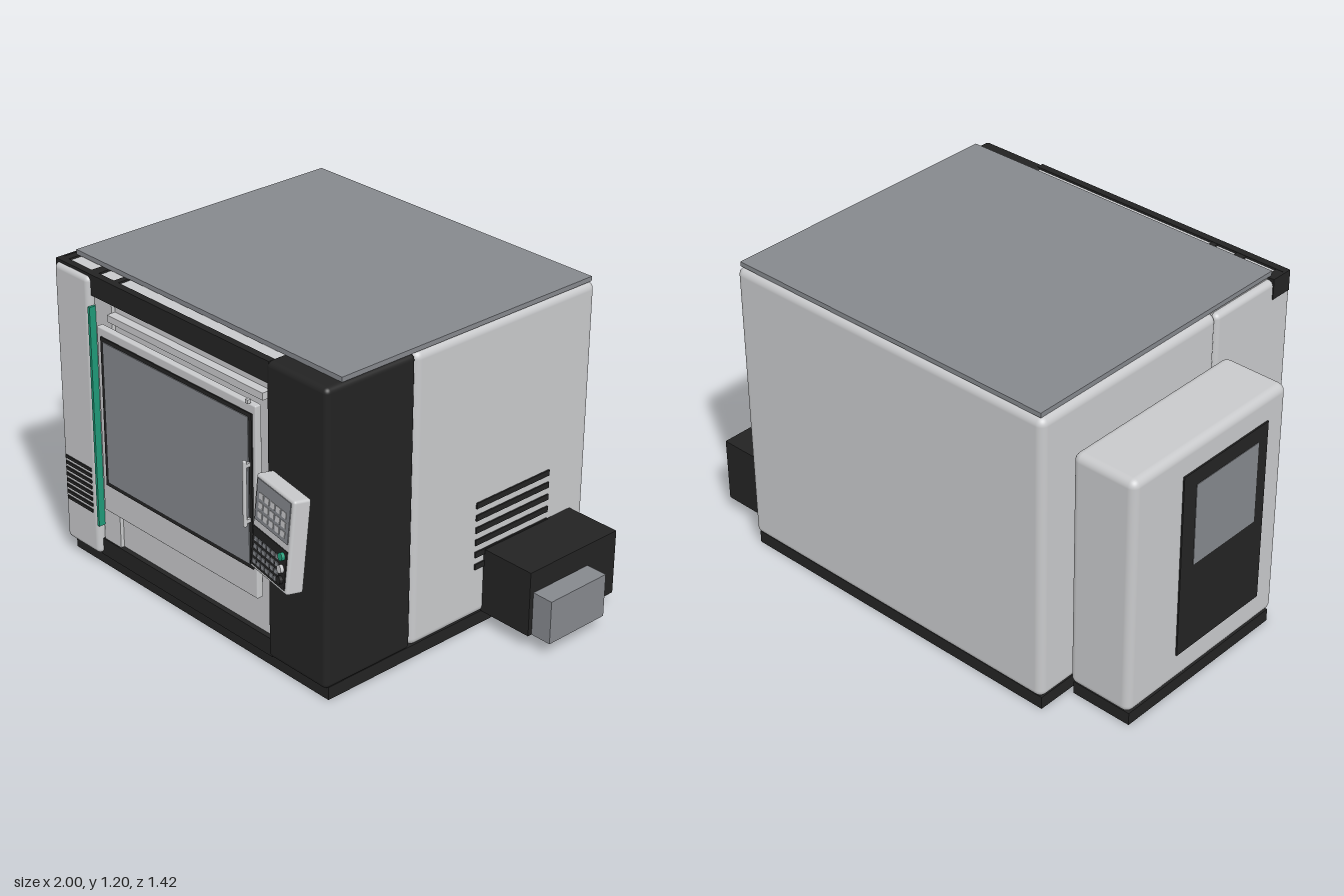
import * as THREE from 'three';
import { RoundedBoxGeometry } from 'three/addons/geometries/RoundedBoxGeometry.js';

const mat = (name, color) => {
  const m = new THREE.MeshStandardMaterial({ color });
  m.name = name;
  return m;
};

export function createModel() {
  const light = mat('light grey paint', 0xc8c9cb);
  const grey = mat('mid grey', 0x85888d);
  const dark = mat('charcoal', 0x232323);
  const teal = mat('teal accent', 0x1f9a78);

  const model = new THREE.Group();
  model.name = 'machiningCentre';

  // Box given by its limits on each axis; r > 0 rounds the edges
  function block(name, material, [x0, x1], [y0, y1], [z0, z1], r = 0, parent = model) {
    const size = [x1 - x0, y1 - y0, z1 - z0];
    const geo = r ? new RoundedBoxGeometry(...size, 4, r) : new THREE.BoxGeometry(...size);
    const mesh = new THREE.Mesh(geo, material);
    mesh.name = name;
    mesh.position.set((x0 + x1) / 2, (y0 + y1) / 2, (z0 + z1) / 2);
    parent.add(mesh);
    return mesh;
  }

  // Plinths
  block('plinth', dark, [-0.715, 0.68], [0, 0.05], [-0.69, 0.54]);
  block('cabinetPlinth', dark, [-0.985, -0.74], [0, 0.05], [-0.555, 0.2]);

  // Main housing and roof
  block('rearHousing', light, [-0.725, 0.69], [0.05, 1.18], [-0.705, 0.168], 0.03);
  block('roofPlate', grey, [-0.705, 0.68], [1.18, 1.198], [-0.69, 0.487]);
  block('frontInnerHousing', light, [-0.7, 0.41], [0.05, 1.172], [0.1, 0.535]);
  block('frontRightColumn', dark, [0.395, 0.69], [0.05, 1.18], [0.165, 0.563], 0.02);
  block('frontLeftColumn', light, [-0.725, -0.53], [0.055, 1.17], [0.165, 0.575], 0.02);

  // Dark frame around the door opening
  block('header', dark, [-0.725, 0.41], [1.1, 1.18], [0.532, 0.56]);
  block('headerEnd', dark, [-0.729, -0.72], [1.1, 1.18], [0.47, 0.56]);
  block('sill', dark, [-0.54, 0.41], [0.05, 0.12], [0.5, 0.555]);
  for (const [a, b] of [[-0.725, -0.69], [-0.56, -0.52], [-0.435, -0.41]])
    block('headerBracket', dark, [a, b], [1.165, 1.179], [0.47, 0.54]);

  // Fixed front panel and status light strip
  block('fixedPanel', light, [-0.525, -0.43], [0.12, 1.1], [0.53, 0.55]);
  block('statusStrip', teal, [-0.532, -0.521], [0.18, 1.06], [0.55, 0.577]);

  // Sliding door
  const door = new THREE.Group();
  door.name = 'door';
  model.add(door);
  block('doorPanel', light, [-0.44, 0.4], [0.3, 1.03], [0.583, 0.61], 0.005, door);
  block('doorRail', light, [-0.43, 0.39], [1.035, 1.062], [0.53, 0.57], 0, door);
  block('windowFrame', dark, [-0.415, 0.385], [0.412, 0.998], [0.609, 0.615], 0, door);
  block('windowGlass', grey, [-0.4, 0.37], [0.428, 0.983], [0.612, 0.618], 0, door);
  block('doorHandle', light, [0.365, 0.379], [0.58, 0.83], [0.63, 0.643], 0.005, door);
  for (const y of [0.6, 0.81])
    block('handleMount', light, [0.366, 0.378], [y - 0.007, y + 0.007], [0.608, 0.635], 0, door);
  block('doorLatch', light, [0.365, 0.379], [1.036, 1.05], [0.61, 0.624], 0, door);

  // Ventilation slots on the column and on the right wall
  for (let i = 0; i < 8; i++) {
    const y = 0.232 + i * 0.0243;
    block('columnVent', dark, [-0.705, -0.555], [y - 0.006, y + 0.006], [0.573, 0.58]);
  }
  for (let i = 0; i < 6; i++) {
    const y = 0.255 + i * 0.049;
    block('sideVent', dark, [0.688, 0.696], [y - 0.011, y + 0.011], [-0.505, -0.14]);
  }

  // Left cabinet with its dark panel and window
  block('sideCabinet', light, [-0.992, -0.73], [0.052, 1.0], [-0.57, 0.217], 0.03);
  block('cabinetPanel', dark, [-0.998, -0.99], [0.165, 0.9], [-0.325, 0.115]);
  block('cabinetWindow', grey, [-1.0, -0.993], [0.515, 0.84], [-0.26, 0.065]);

  // Chip outlet on the right
  block('outletHousing', dark, [0.685, 0.915], [0.055, 0.31], [-0.627, -0.187]);
  block('outletBox', grey, [0.91, 1.0], [0.055, 0.225], [-0.483, -0.205]);

  // Control panel, tilted back and turned towards the door
  const arm = new THREE.Mesh(new THREE.CylinderGeometry(0.012, 0.012, 0.08, 16), light);
  arm.name = 'controlArm';
  arm.rotation.x = Math.PI / 2;
  arm.position.set(0.54, 0.655, 0.585);
  model.add(arm);

  const control = new THREE.Group();
  control.name = 'controlPanel';
  control.position.set(0.54, 0.627, 0.63);
  control.rotation.set(-0.11, -0.2, 0);
  model.add(control);
  block('controlBody', light, [-0.123, 0.123], [-0.17, 0.17], [-0.033, 0.033], 0.01, control);
  block('screen', grey, [-0.107, 0.107], [0.01, 0.158], [0.03, 0.036], 0, control);
  block('keypad', dark, [-0.11, 0.11], [-0.155, -0.015], [0.03, 0.036], 0, control);
  for (let row = 0; row < 3; row++)
    for (let col = 0; col < 5; col++) {
      const x = -0.074 + col * 0.037, y = 0.036 + row * 0.034;
      block('screenTile', light, [x - 0.013, x + 0.013], [y - 0.011, y + 0.011], [0.034, 0.038], 0, control);
    }
  for (let row = 0; row < 4; row++)
    for (let col = 0; col < 6; col++) {
      const x = -0.086 + col * 0.028, y = -0.137 + row * 0.027;
      block('key', grey, [x - 0.011, x + 0.011], [y - 0.008, y + 0.008], [0.034, 0.039], 0, control);
    }
  // Round buttons
  [[-0.04, teal], [-0.085, light], [-0.125, dark]].forEach(([y, m]) => {
    const knob = new THREE.Mesh(new THREE.CylinderGeometry(0.014, 0.014, 0.014, 20), m);
    knob.name = 'roundButton';
    knob.rotation.x = Math.PI / 2;
    knob.position.set(0.086, y, 0.041);
    control.add(knob);
  });

  return model;
}
